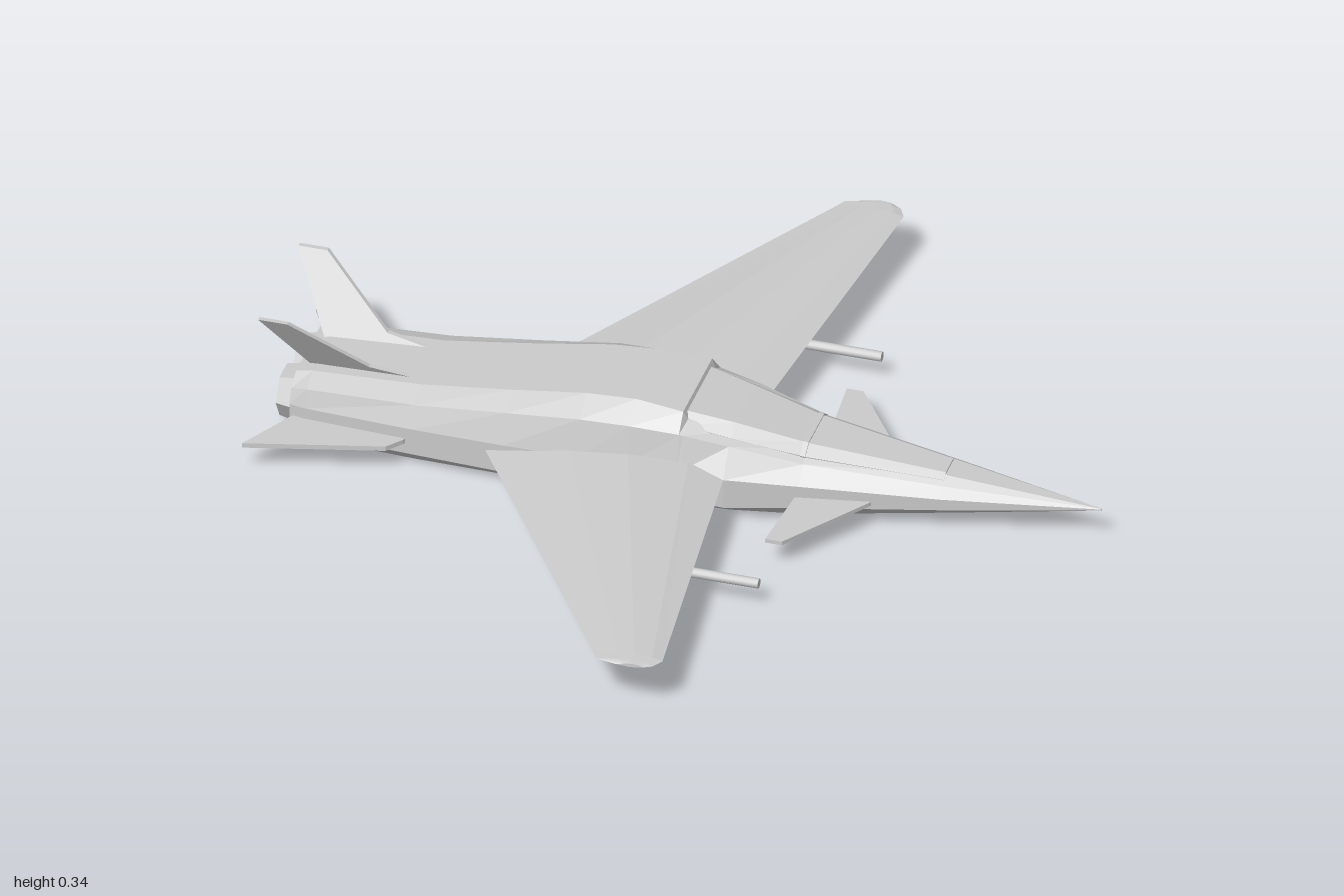
import * as THREE from 'three';

const grey = new THREE.MeshStandardMaterial({ color: 0xcccccc, flatShading: true });
const smooth = new THREE.MeshStandardMaterial({ color: 0xcccccc });

// Closed skin through rings of equal point count, capped at both ends, always facing outward
function loft(rings) {
  const tris = [];
  const n = rings[0].length;
  for (let i = 0; i < rings.length - 1; i++) {
    const a = rings[i], b = rings[i + 1];
    for (let j = 0; j < n; j++) {
      const k = (j + 1) % n;
      tris.push([a[j], a[k], b[k]], [a[j], b[k], b[j]]);
    }
  }
  const first = rings[0], last = rings[rings.length - 1];
  for (let j = 1; j < n - 1; j++) {
    tris.push([first[0], first[j + 1], first[j]], [last[0], last[j], last[j + 1]]);
  }
  let volume = 0;
  for (const [a, b, c] of tris) {
    volume += a[0] * (b[1] * c[2] - b[2] * c[1]) + a[1] * (b[2] * c[0] - b[0] * c[2]) + a[2] * (b[0] * c[1] - b[1] * c[0]);
  }
  if (volume < 0) tris.forEach((t) => t.reverse());
  const g = new THREE.BufferGeometry();
  g.setAttribute('position', new THREE.Float32BufferAttribute(tris.flat(2), 3));
  g.computeVertexNormals();
  return g;
}

function part(name, geometry, material = grey) {
  const m = new THREE.Mesh(geometry, material);
  m.name = name;
  return m;
}

// Mirror a half section of [z, y] points into a full ring at x
function ring(x, half) {
  return [...half.map(([z, y]) => [x, y, z]), ...half.slice().reverse().map(([z, y]) => [x, y, -z])];
}

// Faceted body section: bottom, chine, widest, shoulder and top corners
function bodyRing([x, bw, b, w, chine, mid, sw, sy, tw, t]) {
  return ring(x, [[bw, b], [w * 0.985, chine], [w, mid], [sw, sy], [tw, t]]);
}

// Thin wing section: trailing edge, upper curve, leading edge, lower curve
function wingRing(z, trail, lead, yTrail, yLead, top, bottom) {
  const at = (f, y) => [trail + (lead - trail) * f, y, z];
  return [
    at(0, yTrail), at(0.35, yTrail + (top - yTrail) * 0.75), at(0.6, top), at(0.85, top - (top - yLead) * 0.25),
    at(1, yLead), at(0.85, bottom + 0.003), at(0.5, bottom),
  ];
}

export function createModel() {
  const model = new THREE.Group();
  model.name = 'jetFighter';

  // Fuselage, tail to nose
  const stations = [
    // x, bottom z, bottom y, widest z, chine y, widest y, shoulder z, shoulder y, top z, top y
    [-0.92, 0.125, 0.02, 0.15, 0.045, 0.11, 0.135, 0.145, 0.095, 0.168],
    [-0.88, 0.13, 0.012, 0.157, 0.04, 0.11, 0.145, 0.155, 0.095, 0.175],
    [-0.62, 0.135, 0.007, 0.17, 0.04, 0.11, 0.15, 0.165, 0.095, 0.187],
    [-0.4, 0.135, 0.005, 0.18, 0.04, 0.115, 0.157, 0.19, 0.1, 0.218],
    [-0.22, 0.135, 0.005, 0.186, 0.04, 0.12, 0.165, 0.212, 0.105, 0.247],
    [-0.1, 0.135, 0.005, 0.182, 0.04, 0.12, 0.163, 0.215, 0.107, 0.255],
    [0.015, 0.13, 0.005, 0.17, 0.04, 0.12, 0.15, 0.205, 0.115, 0.247],
    [0.025, 0.13, 0.005, 0.171, 0.04, 0.12, 0.148, 0.203, 0.11, 0.225],
    [0.13, 0.125, 0.005, 0.178, 0.042, 0.12, 0.135, 0.185, 0.09, 0.2],
    [0.3, 0.1, 0.01, 0.14, 0.05, 0.11, 0.105, 0.15, 0.07, 0.168],
    [0.62, 0.05, 0.043, 0.08, 0.068, 0.098, 0.06, 0.122, 0.035, 0.138],
    [0.985, 0.001, 0.088, 0.002, 0.089, 0.09, 0.002, 0.091, 0.001, 0.092],
  ];
  model.add(part('fuselage', loft(stations.map(bodyRing))));

  // Canopy set just behind the raised spine, with a cross frame
  const canopySection = ([x, w, side, tw, top]) => ring(x, [[w * 0.9, side - 0.03], [w, side], [tw, top]]);
  model.add(part('canopy', loft([
    [0.018, 0.122, 0.215, 0.095, 0.238], [0.13, 0.113, 0.193, 0.08, 0.217],
    [0.3, 0.09, 0.161, 0.06, 0.18], [0.62, 0.047, 0.131, 0.03, 0.142],
  ].map(canopySection))));
  model.add(part('canopyFrame', loft([
    [0.288, 0.093, 0.164, 0.063, 0.185], [0.3, 0.092, 0.162, 0.062, 0.183],
  ].map(canopySection))));

  // Outline of [x, z] points made into a thin level plate
  const plate = (outline, y, t) => loft([-t / 2, t / 2].map((d) => outline.map(([x, z]) => [x, y + d, z])));

  for (const s of [1, -1]) {
    const side = s > 0 ? 'right' : 'left';

    // Forward-swept wing with a rounded tip
    model.add(part(`${side}Wing`, loft([
      wingRing(s * 0.1, -0.49, 0.12, 0.09, 0.118, 0.147, 0.09),
      wingRing(s * 0.18, -0.44, 0.13, 0.093, 0.12, 0.147, 0.093),
      wingRing(s * 0.96, 0.053, 0.22, 0.132, 0.137, 0.146, 0.13),
      wingRing(s * 0.988, 0.07, 0.205, 0.134, 0.138, 0.145, 0.132),
      wingRing(s, 0.12, 0.185, 0.136, 0.139, 0.144, 0.134),
    ])));

    // Foreplane and tailplane
    model.add(part(`${side}Foreplane`, plate(
      [[0.48, s * 0.08], [0.46, s * 0.115], [0.315, s * 0.325], [0.275, s * 0.325], [0.295, s * 0.08]], 0.075, 0.01)));
    model.add(part(`${side}Tailplane`, plate(
      [[-0.62, s * 0.13], [-0.64, s * 0.175], [-0.67, s * 0.213], [-0.99, s * 0.295], [-0.895, s * 0.12]], 0.075, 0.012)));

    // Canted tail fin with a low forward strake
    const fin = [[-0.75, 0.2], [-0.62, 0.18], [-0.89, 0.16], [-0.99, 0.34], [-0.92, 0.34]];
    model.add(part(`${side}TailFin`, loft([-0.006, 0.006].map(
      (d) => fin.map(([x, y]) => [x, y, s * (0.055 + (y - 0.17) * 0.62) + d])))));

    // Six-sided exhaust with a hollow mouth
    const exhaust = new THREE.LatheGeometry(
      [[0, 0.03], [0.042, 0.03], [0.054, -0.045], [0.06, -0.045], [0.078, 0.04]]
        .map(([r, y]) => new THREE.Vector2(r, y)).reverse(), 6);
    exhaust.rotateZ(-Math.PI / 2);
    const nozzle = part(`${side}Exhaust`, exhaust, grey.clone());
    nozzle.material.side = THREE.DoubleSide;
    nozzle.position.set(-0.915, 0.09, s * 0.066);
    model.add(nozzle);

    // Gun pod under the wing
    const pod = new THREE.Group();
    pod.name = `${side}GunPod`;
    const profile = [[0, -0.165], [0.034, -0.165], [0.042, -0.16], [0.045, -0.145], [0.046, -0.08], [0.045, -0.02],
      [0.04, 0], [0.032, 0.015], [0.026, 0.04], [0.021, 0.08], [0.014, 0.09], [0, 0.09]];
    const body = new THREE.LatheGeometry(profile.map(([r, y]) => new THREE.Vector2(r, y)), 20);
    const barrel = new THREE.CylinderGeometry(0.012, 0.012, 0.24, 12).translate(0, 0.19, 0);
    pod.add(part('podBody', body, smooth), part('barrel', barrel, smooth));
    const pylon = part('pylon', new THREE.BoxGeometry(0.012, 0.12, 0.012));
    pylon.geometry.translate(-0.045, -0.06, 0);
    pod.add(pylon);
    pod.rotation.z = -Math.PI / 2;
    pod.position.set(0, 0.069, s * 0.49);
    model.add(pod);
  }
  return model;
}
